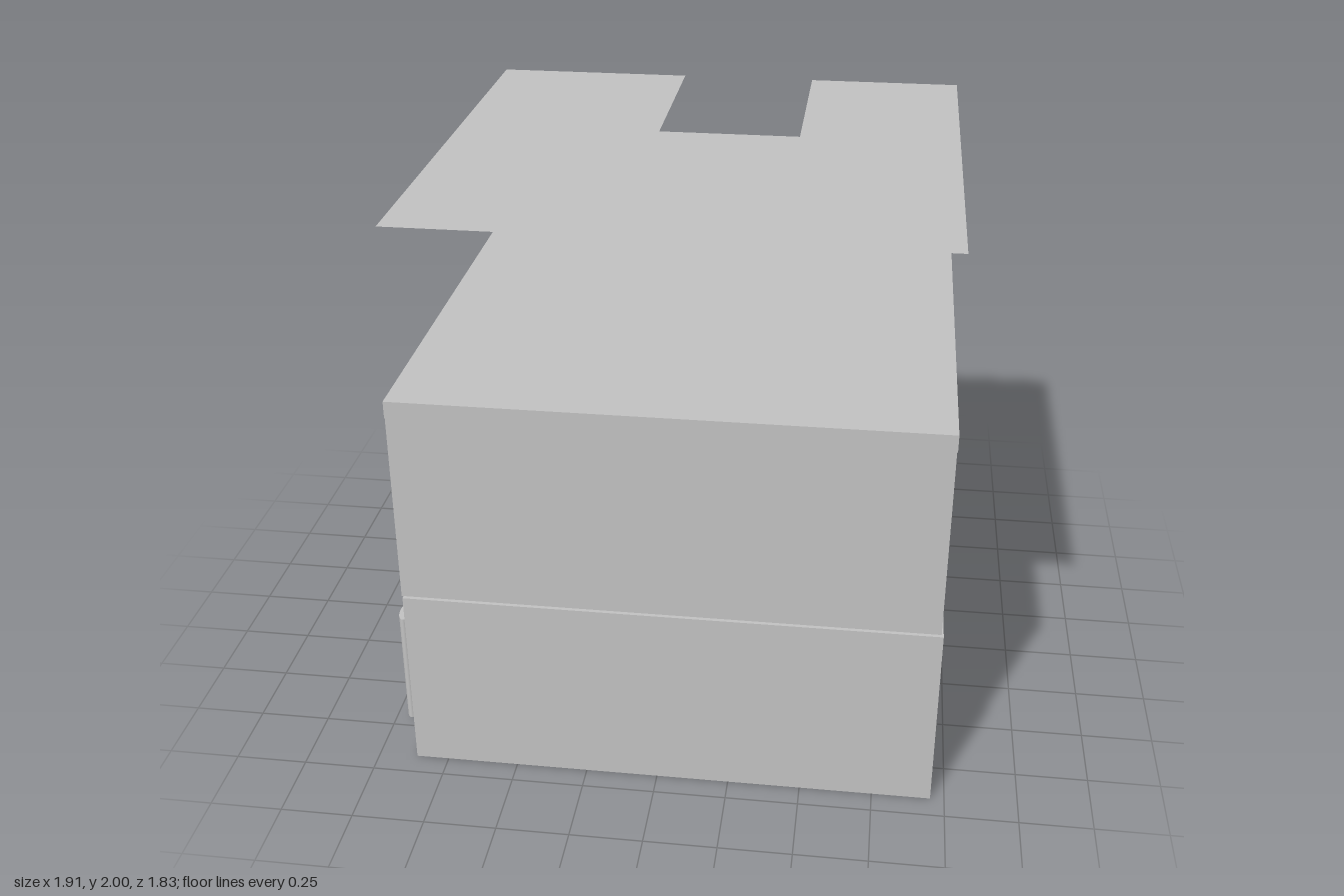
import * as THREE from 'three';

export function createModel() {
  const model = new THREE.Group();
  model.name = 'house';
  const plaster = new THREE.MeshStandardMaterial({ color: 0xc0c0c0 });
  plaster.name = 'plaster grey';
  const sheet = new THREE.MeshStandardMaterial({ color: 0xc0c0c0, side: THREE.DoubleSide });
  sheet.name = 'sheet grey';

  const add = (parent, name, geometry, material = plaster) => {
    const mesh = new THREE.Mesh(geometry, material);
    mesh.name = name;
    parent.add(mesh);
    return mesh;
  };

  // Box given by its limits on each axis
  const block = (parent, name, [x0, x1], [y0, y1], [z0, z1]) =>
    add(parent, name, new THREE.BoxGeometry(x1 - x0, y1 - y0, z1 - z0)
      .translate((x0 + x1) / 2, (y0 + y1) / 2, (z0 + z1) / 2));

  // Wall panel along u, with rectangular openings [u0, u1, y0, y1]
  const T = 0.03, H = 0.673;
  const panel = (u0, u1, openings) => {
    const shape = new THREE.Shape();
    shape.moveTo(u0, 0).lineTo(u1, 0).lineTo(u1, H).lineTo(u0, H).closePath();
    for (const [a, b, c, d] of openings) {
      const hole = new THREE.Path();
      hole.moveTo(a, c).lineTo(a, d).lineTo(b, d).lineTo(b, c).closePath();
      shape.holes.push(hole);
    }
    return new THREE.ExtrudeGeometry(shape, { depth: T, bevelEnabled: false });
  };

  // Ground storey: hollow, with doors and windows cut through the walls
  const ground = new THREE.Group();
  ground.name = 'groundStorey';
  model.add(ground);
  const X0 = -0.865, X1 = 0.952, Z0 = -0.902, Z1 = 0.915;
  const sideWall = (name, outerX, openings) =>
    add(ground, name, panel(Z0 + T, Z1 - T, openings).rotateY(-Math.PI / 2)).position.x = outerX;
  add(ground, 'frontWall', panel(X0, X1, [])).position.z = Z1 - T;
  add(ground, 'backWall', panel(X0, X1, [
    [0.72, 0.84, 0.31, 0.43],
    [-0.6, -0.36, 0.27, 0.5],
  ])).position.z = Z0;
  sideWall('leftWall', X1, [
    [0.44, 0.66, 0.03, 0.49],
    [-0.57, -0.34, 0.03, 0.49],
  ]);
  sideWall('rightWall', X0 + T, [
    [-0.72, -0.36, 0.27, 0.5],
    [-0.08, 0.15, 0.03, 0.49],
    [0.36, 0.75, 0.27, 0.5],
  ]);
  block(ground, 'floor', [X0 + T, X1 - T], [0, 0.03], [Z0 + T, Z1 - T]);

  // Upper storey and roof slab, each very slightly offset
  block(model, 'upperStorey', [-0.87, 0.945], [0.676, 1.36], [-0.912, 0.906]);
  block(model, 'roofSlab', [-0.87, 0.947], [1.36, 1.418], [-0.906, 0.912]);

  // Thin notched sheet floating above the roof
  const outline = new THREE.Shape([
    [-0.85, 0.88], [0.93, 0.88], [0.93, -0.89], [0.37, -0.89],
    [0.37, -0.165], [-0.13, -0.165], [-0.13, -0.89], [-0.85, -0.89],
  ].map(([x, z]) => new THREE.Vector2(x, -z)));
  add(model, 'floatingSheet', new THREE.ShapeGeometry(outline).rotateX(-Math.PI / 2), sheet).position.y = 2;

  // Oval post beside the right wall
  const post = add(model, 'post', new THREE.CylinderGeometry(1, 1, 0.43, 32));
  post.scale.set(0.024, 1, 0.06);
  post.position.set(-0.933, 0.245, 0.68);

  return model;
}
